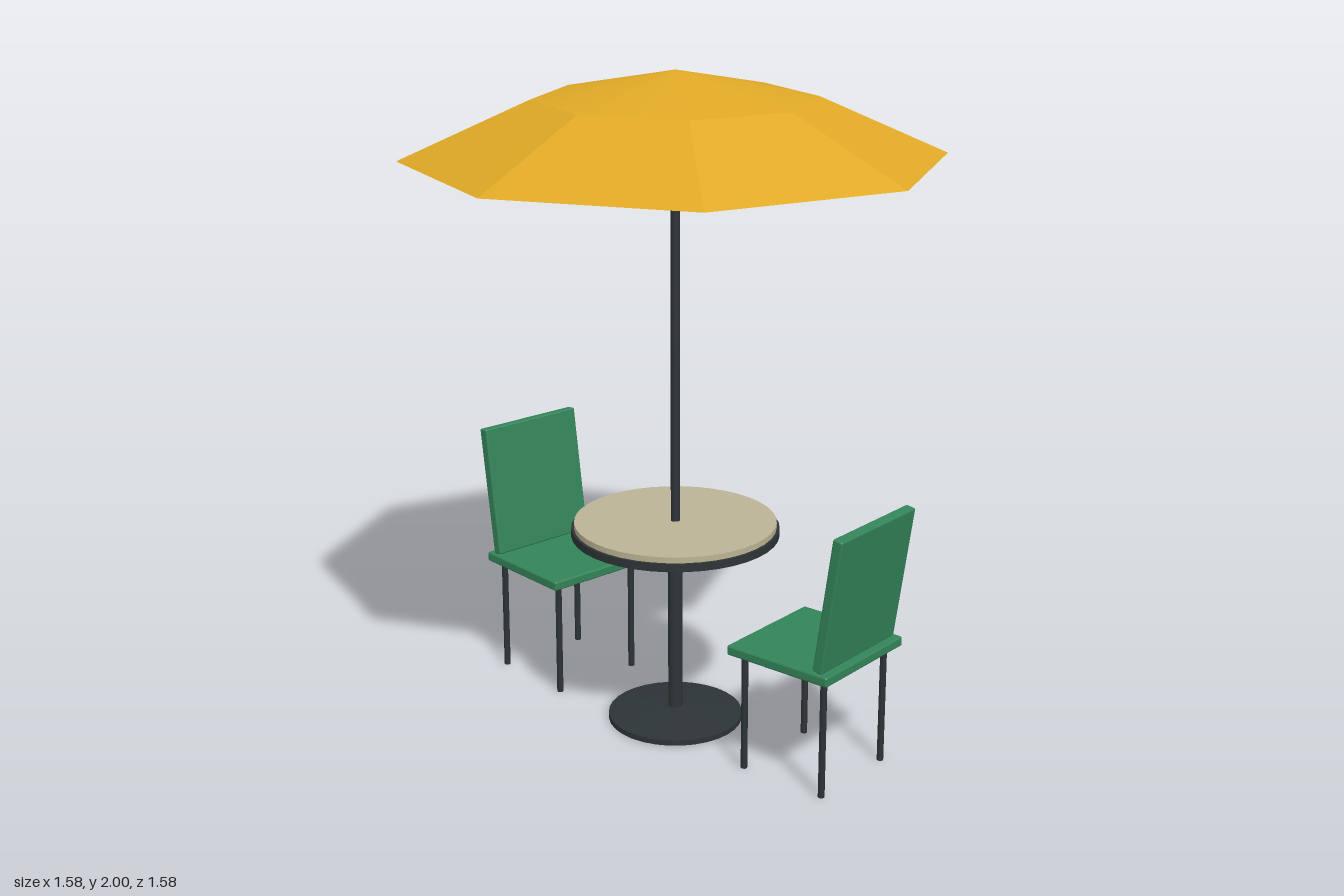
import * as THREE from 'three';
import { toCreasedNormals } from 'three/addons/utils/BufferGeometryUtils.js';
import { RoundedBoxGeometry } from 'three/addons/geometries/RoundedBoxGeometry.js';

const flat = (name, color, extra = {}) => new THREE.MeshStandardMaterial({ name, color, ...extra });

export function createModel() {
  const gold = flat('gold canvas', 0xdfa826, { side: THREE.DoubleSide });
  const green = flat('green seat', 0x338358);
  const iron = flat('dark iron', 0x2d3436);
  const stone = flat('pale stone', 0xbbb395);

  const model = new THREE.Group();
  model.name = 'patioSet';

  function add(parent, name, geometry, material, x = 0, y = 0, z = 0) {
    const mesh = new THREE.Mesh(geometry, material);
    mesh.name = name;
    mesh.position.set(x, y, z);
    parent.add(mesh);
    return mesh;
  }

  // Upright cylinder or cone frustum between two heights
  function column(parent, name, material, rBottom, rTop, y0, y1, sides, x = 0, z = 0) {
    const geometry = new THREE.CylinderGeometry(rTop, rBottom, y1 - y0, sides);
    return add(parent, name, geometry, material, x, (y0 + y1) / 2, z);
  }

  // Table: foot, pedestal, rimmed top
  const table = new THREE.Group();
  table.name = 'table';
  model.add(table);
  column(table, 'footPlate', iron, 0.207, 0.207, 0, 0.017, 32);
  column(table, 'footCone', iron, 0.207, 0.023, 0.017, 0.036, 32);
  column(table, 'pedestal', iron, 0.022, 0.022, 0.03, 0.61, 16);
  column(table, 'tableRim', iron, 0.315, 0.315, 0.606, 0.63, 40);
  column(table, 'tableTop', stone, 0.306, 0.306, 0.628, 0.648, 40);

  // Parasol: pole and eight-panel canopy
  const parasol = new THREE.Group();
  parasol.name = 'parasol';
  model.add(parasol);
  column(parasol, 'pole', iron, 0.014, 0.014, 0.6, 1.985, 12);
  const profile = [[0.79, 1.752], [0.412, 1.92], [0, 2]].map(([r, y]) => new THREE.Vector2(r, y));
  // Crisp outer panels, soft crown
  add(parasol, 'canopy', toCreasedNormals(new THREE.LatheGeometry(profile, 8), 0.19), gold);

  // Chair facing +z, standing at (x, z) and turned about y
  function chair(name, x, z, turn) {
    const group = new THREE.Group();
    group.name = name;
    group.position.set(x, 0, z);
    group.rotation.y = turn;
    model.add(group);
    add(group, 'seat', new RoundedBoxGeometry(0.38, 0.03, 0.354, 2, 0.006), green, 0, 0.38, 0);
    const back = add(group, 'backrest', new RoundedBoxGeometry(0.362, 0.414, 0.033, 2, 0.006), green, 0, 0.601, -0.166);
    back.rotation.x = -0.145;
    for (const sx of [-1, 1]) {
      for (const sz of [-1, 1]) {
        column(group, 'leg', iron, 0.01, 0.01, 0, 0.37, 8, sx * 0.149, sz * 0.14);
      }
    }
  }
  chair('frontChair', 0.014, 0.516, Math.PI);
  chair('rearChair', 0.066, -0.51, -0.15);

  return model;
}
